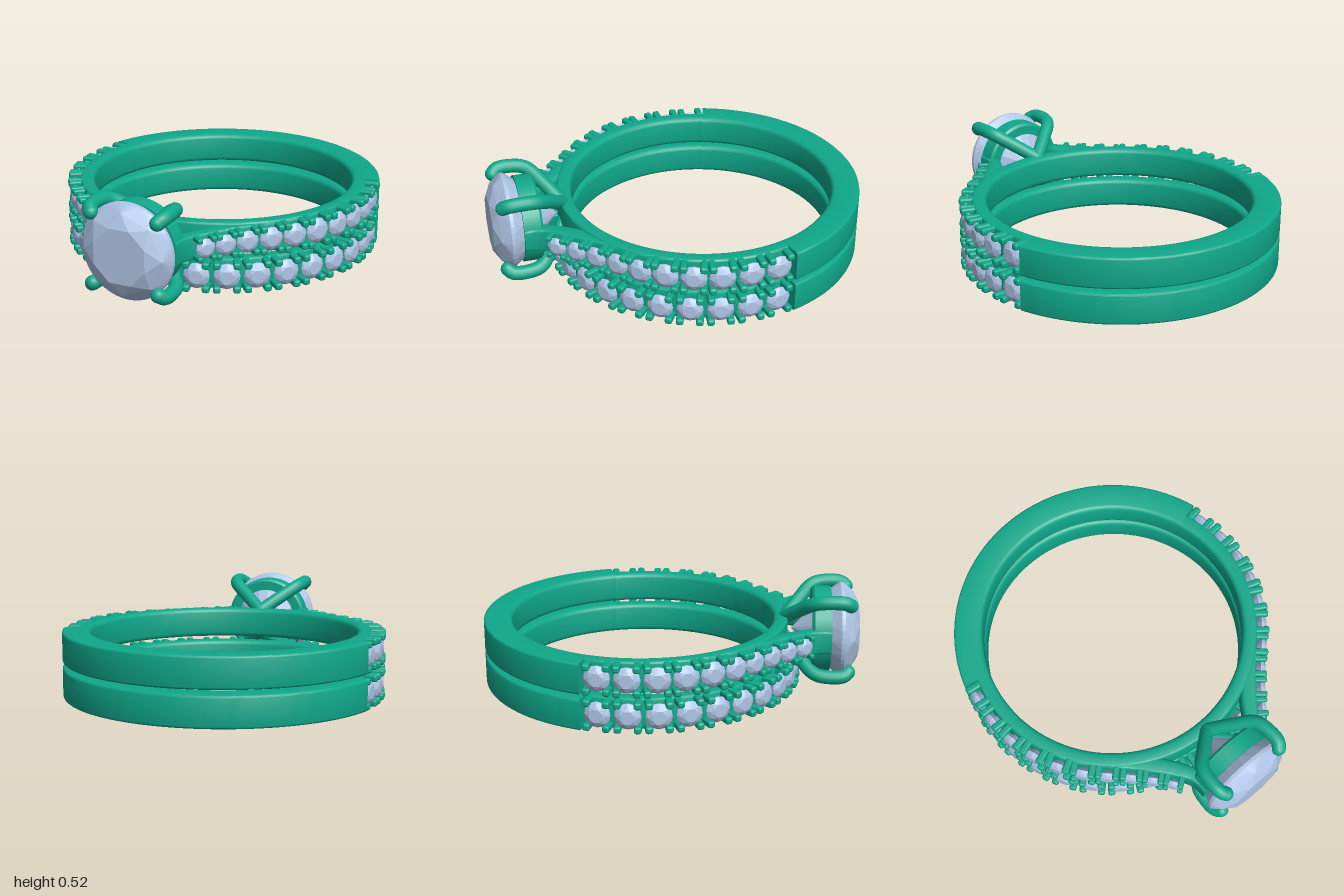
import * as THREE from 'three';
import { toCreasedNormals } from 'three/addons/utils/BufferGeometryUtils.js';
import { RoundedBoxGeometry } from 'three/addons/geometries/RoundedBoxGeometry.js';
import { ConvexGeometry } from 'three/addons/geometries/ConvexGeometry.js';

const metal = new THREE.MeshStandardMaterial({ color: 0x0fa88b });
const stone = new THREE.MeshStandardMaterial({ color: 0xb0c6e6 });
const RAD = Math.PI / 180;
const CZ = -0.15;      // centre of the finger hole
const HEAD_Y = 0.275;  // height of the main stone's axis
const PAVE_END = 107.4;

const onCircle = (deg, r) => new THREE.Vector3(r * Math.sin(deg * RAD), 0, CZ + r * Math.cos(deg * RAD));

function add(parent, name, geometry, material) {
  const mesh = new THREE.Mesh(geometry, material);
  mesh.name = name;
  parent.add(mesh);
  return mesh;
}

// Rounded rectangle running from u = 0 (inside) to u = w (outside), half height h
function section(w, h) {
  const pts = [];
  const corners = [[w, h, 0.012, 0], [0, h, 0.024, 90], [0, -h, 0.024, 180], [w, -h, 0.012, 270]];
  for (const [u, v, r, start] of corners) {
    const cu = u + (u > 0 ? -r : r), cv = v + (v > 0 ? -r : r);
    for (let i = 0; i <= 3; i++) {
      const a = (start + i * 30) * RAD;
      pts.push([cu + r * Math.cos(a), cv + r * Math.sin(a)]);
    }
  }
  return pts;
}

// Solid lofted through frames { inner, outer, h } lying in plan, at height y
function loft(frames, y) {
  const rings = frames.map(({ inner, outer, h }) => {
    const dir = outer.clone().sub(inner), w = dir.length();
    dir.normalize();
    return section(w, h).map(([u, v]) => inner.clone().addScaledVector(dir, u).setY(y + v));
  });
  const pos = [];
  const tri = (...vs) => vs.forEach((v) => pos.push(v.x, v.y, v.z));
  const n = rings[0].length;
  for (let i = 0; i < rings.length - 1; i++) {
    const A = rings[i], B = rings[i + 1];
    for (let j = 0; j < n; j++) {
      const k = (j + 1) % n;
      tri(A[j], B[j], B[k]);
      tri(A[j], B[k], A[k]);
    }
  }
  const first = rings[0], last = rings[rings.length - 1];
  for (let j = 1; j < n - 1; j++) {
    tri(first[0], first[j], first[j + 1]);
    tri(last[0], last[j + 1], last[j]);
  }
  const geo = new THREE.BufferGeometry();
  geo.setAttribute('position', new THREE.Float32BufferAttribute(pos, 3));
  return toCreasedNormals(geo, 0.6);
}

function arcBand(from, to, rOuter, y) {
  const frames = [], steps = Math.ceil((to - from) / 3);
  for (let i = 0; i <= steps; i++) {
    const a = from + ((to - from) * i) / steps;
    frames.push({ inner: onCircle(a, 0.7), outer: onCircle(a, rOuter), h: 0.081 });
  }
  return loft(frames, y);
}

// Faceted stone facing +z; each ring is [count, radius, z, angular offset]
function gem(rings, culet) {
  const pts = [new THREE.Vector3(0, 0, culet)];
  for (const [count, r, z, off] of rings) {
    for (let i = 0; i < count; i++) {
      const a = ((i + off) / count) * Math.PI * 2;
      pts.push(new THREE.Vector3(r * Math.cos(a), r * Math.sin(a), z));
    }
  }
  return new ConvexGeometry(pts);
}

const smallGem = gem([[8, 0.036, 0.026, 0.5], [8, 0.056, 0.015, 0], [16, 0.067, 0.002, 0], [16, 0.067, -0.004, 0]], -0.045);
const bead = new RoundedBoxGeometry(0.038, 0.036, 0.085, 2, 0.012);

// One small stone with its four corner prongs
function setting(parent, p, nx, nz, y, scale) {
  const g = new THREE.Group();
  g.name = 'smallStoneSetting';
  add(g, 'smallStone', smallGem, stone);
  for (const sx of [-1, 1]) for (const sy of [-1, 1]) {
    add(g, 'smallProng', bead, metal).position.set(sx * 0.05, sy * 0.063, -0.008);
  }
  g.position.set(p.x, y, p.z);
  g.rotation.y = Math.atan2(nx, nz);
  g.scale.setScalar(scale);
  parent.add(g);
}

function bandBase(name, y) {
  const band = new THREE.Group();
  band.name = name;
  add(band, 'plainBack', arcBand(PAVE_END, 360 - PAVE_END, 0.85, y), metal);
  add(band, 'stoneBed', arcBand(-PAVE_END, PAVE_END, 0.777, y), metal);
  return band;
}

// Lower band: twenty stones round the front
function lowerBand() {
  const y = 0.083, band = bandBase('lowerBand', y);
  for (let i = 0; i < 20; i++) {
    const a = -102 + (i * 204) / 19;
    setting(band, onCircle(a, 0.812), Math.sin(a * RAD), Math.cos(a * RAD), y, 1);
  }
  return band;
}

// Upper band: stones leave the circle and climb the shoulders to the head
function upperBand() {
  const y = 0.27, band = bandBase('upperBand', y);
  const stops = [[102, 0.812], [91.5, 0.812], [81, 0.812], [71, 0.812], [61, 0.81],
    [51.5, 0.81], [42.5, 0.81], [33.8, 0.825], [26.4, 0.86], [20.2, 0.91]];
  const points = stops.map(([a, r]) => onCircle(a, r));
  points.push(new THREE.Vector3(0.265, 0, 0.78), new THREE.Vector3(0.262, 0, 0.85));
  const path = new THREE.CatmullRomCurve3(points);
  const last = points.length - 1;
  const sample = (t) => {
    const tan = path.getTangent(t);
    return { p: path.getPoint(t), n: new THREE.Vector3(tan.z, 0, -tan.x).normalize() };
  };
  for (const side of [1, -1]) {
    const mirror = new THREE.Vector3(side, 1, 1);
    stops.forEach((_, i) => {
      const { p, n } = sample(i / last);
      setting(band, p.multiply(mirror), n.x * side, n.z, y, i < 5 ? 1 : 1 - (i - 4) * 0.047);
    });
    const frames = [];
    for (let i = 0; i <= 32; i++) {
      const k = i / 32, { p, n } = sample((4 + k * (last - 4)) / last);
      const outer = p.addScaledVector(n, -0.03);
      const inner = outer.clone().addScaledVector(n, -0.062 - 0.025 * Math.sin(Math.PI * k));
      frames.push({ inner: inner.multiply(mirror), outer: outer.multiply(mirror), h: 0.08 - 0.02 * k });
    }
    if (side > 0) frames.reverse();
    add(band, side > 0 ? 'leftShoulder' : 'rightShoulder', loft(frames, y), metal);
  }
  return band;
}

// Head: main stone, collar and four claws
function head() {
  const g = new THREE.Group();
  g.name = 'head';
  g.position.y = HEAD_Y;
  add(g, 'mainStone', gem([[8, 0.15, 1.0, 0.5], [8, 0.212, 0.967, 0], [48, 0.25, 0.918, 0],
    [48, 0.25, 0.9, 0], [16, 0.205, 0.84, 0]], 0.645), stone);

  const profile = [[0.19, 0.75], [0.215, 0.75], [0.228, 0.762], [0.228, 0.85], [0.198, 0.85], [0.165, 0.75], [0.19, 0.75]]
    .map(([r, z]) => new THREE.Vector2(r, z));
  const collar = new THREE.LatheGeometry(profile, 64).rotateX(Math.PI / 2);
  add(g, 'collar', toCreasedNormals(collar, 0.6), metal);

  const claw = [[0.005, 0.065, 0.615], [0.1, 0.135, 0.69], [0.185, 0.195, 0.77], [0.202, 0.206, 0.86], [0.198, 0.2, 0.92], [0.18, 0.183, 0.945]];
  for (const sx of [1, -1]) for (const sy of [1, -1]) {
    const pts = claw.map(([x, y, z]) => new THREE.Vector3(x * sx, y * sy, z));
    add(g, 'claw', new THREE.TubeGeometry(new THREE.CatmullRomCurve3(pts), 36, 0.037, 14), metal);
    for (const end of [pts[0], pts[pts.length - 1]]) {
      add(g, 'clawTip', new THREE.SphereGeometry(0.037, 16, 10), metal).position.copy(end);
    }
  }
  return g;
}

export function createModel() {
  const model = new THREE.Group();
  model.name = 'ringSet';
  model.add(lowerBand(), upperBand(), head());
  return model;
}
